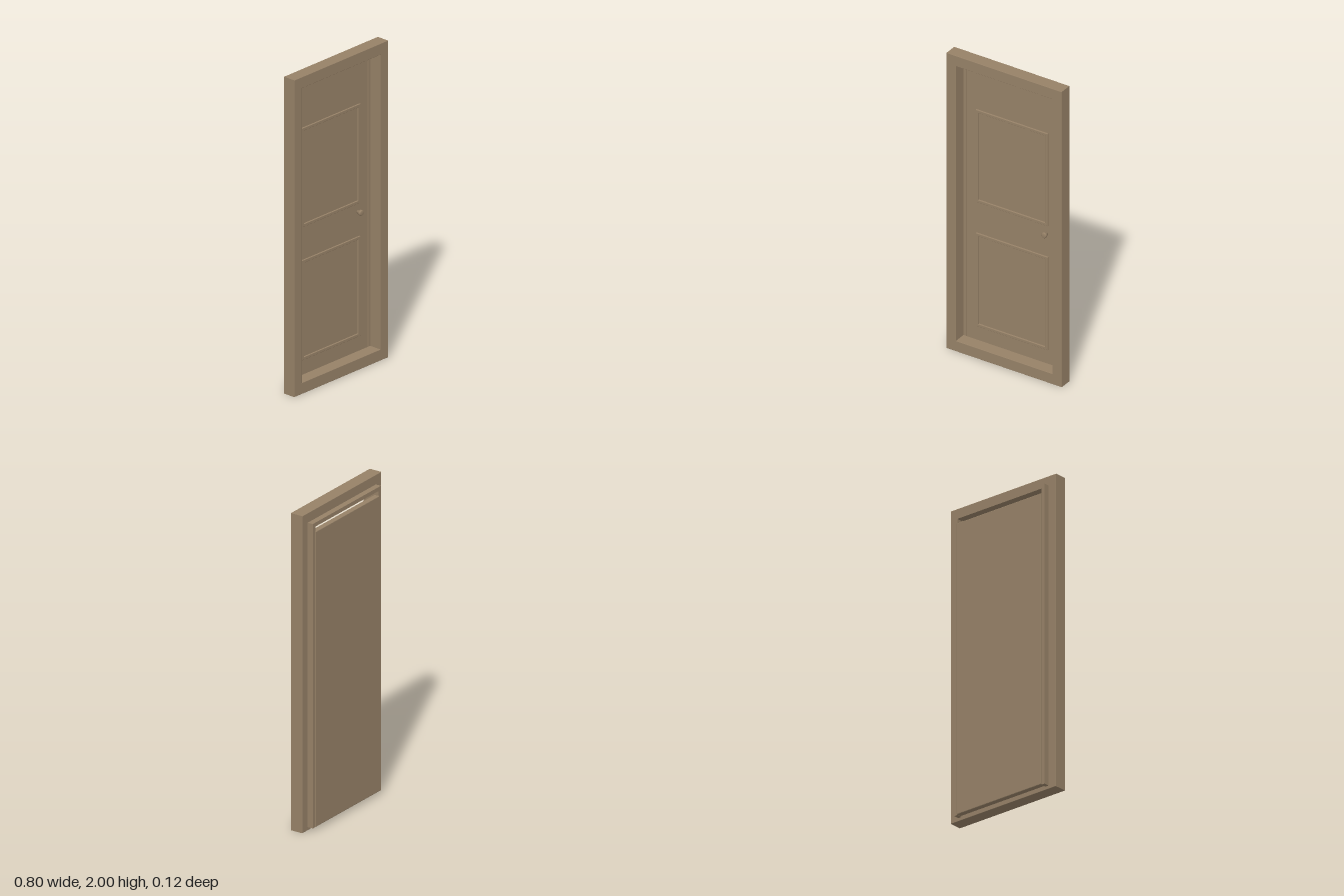
import * as THREE from 'three';

const wood = new THREE.MeshStandardMaterial({ color: 0x968167 });
wood.name = 'brown wood';

// Closed rectangle running through the four corners
function rectangle(Type, x0, y0, x1, y1) {
  const r = new Type();
  r.moveTo(x0, y0);
  r.lineTo(x1, y0);
  r.lineTo(x1, y1);
  r.lineTo(x0, y1);
  r.closePath();
  return r;
}

// Extrudes a shape between two z planes, with a small chamfer kept inside its outline
function slab(name, shape, zBack, zFront, bevel) {
  const geo = new THREE.ExtrudeGeometry(shape, {
    depth: zFront - zBack - 2 * bevel,
    bevelEnabled: bevel > 0,
    bevelThickness: bevel,
    bevelSize: bevel,
    bevelOffset: -bevel,
    bevelSegments: 2,
  });
  geo.translate(0, 0, zBack + bevel);
  const mesh = new THREE.Mesh(geo, wood);
  mesh.name = name;
  return mesh;
}

export function createModel() {
  const group = new THREE.Group();
  group.name = 'door';

  // Outer frame with its opening
  const frame = rectangle(THREE.Shape, -0.4, 0, 0.4, 2);
  frame.holes.push(rectangle(THREE.Path, -0.335, 0.07, 0.335, 1.93));
  group.add(slab('frame', frame, -0.022, 0.06, 0.002));

  // Three-sided stop behind the frame, open at the bottom
  const stop = new THREE.Shape();
  [[-0.345, 0.02], [-0.32, 0.02], [-0.32, 1.915], [0.32, 1.915],
    [0.32, 0.02], [0.345, 0.02], [0.345, 1.94], [-0.345, 1.94]]
    .forEach(([x, y], i) => (i ? stop.lineTo(x, y) : stop.moveTo(x, y)));
  stop.closePath();
  group.add(slab('doorStop', stop, -0.058, -0.022, 0));

  // Door leaf, leaving a gap below the top of the stop
  group.add(slab('doorLeaf', rectangle(THREE.Shape, -0.323, 0.022, 0.323, 1.885), -0.063, -0.028, 0.004));

  // Raised mouldings around the two door panels
  for (const [name, y0, y1] of [['upperPanelMoulding', 1.0, 1.625], ['lowerPanelMoulding', 0.16, 0.79]]) {
    const moulding = rectangle(THREE.Shape, -0.25, y0, 0.25, y1);
    moulding.holes.push(rectangle(THREE.Path, -0.232, y0 + 0.018, 0.232, y1 - 0.018));
    group.add(slab(name, moulding, -0.03, -0.019, 0.002));
  }

  // Round knob: stem and head turned on one profile
  const profile = [[0, 0], [0.01, 0], [0.01, 0.016], [0.018, 0.02], [0.018, 0.032], [0.014, 0.036], [0, 0.036]]
    .map(([r, h]) => new THREE.Vector2(r, h));
  const knobGeo = new THREE.LatheGeometry(profile, 16);
  knobGeo.rotateX(Math.PI / 2);
  const knob = new THREE.Mesh(knobGeo, wood);
  knob.name = 'knob';
  knob.position.set(0.237, 0.945, -0.029);
  group.add(knob);

  return group;
}
